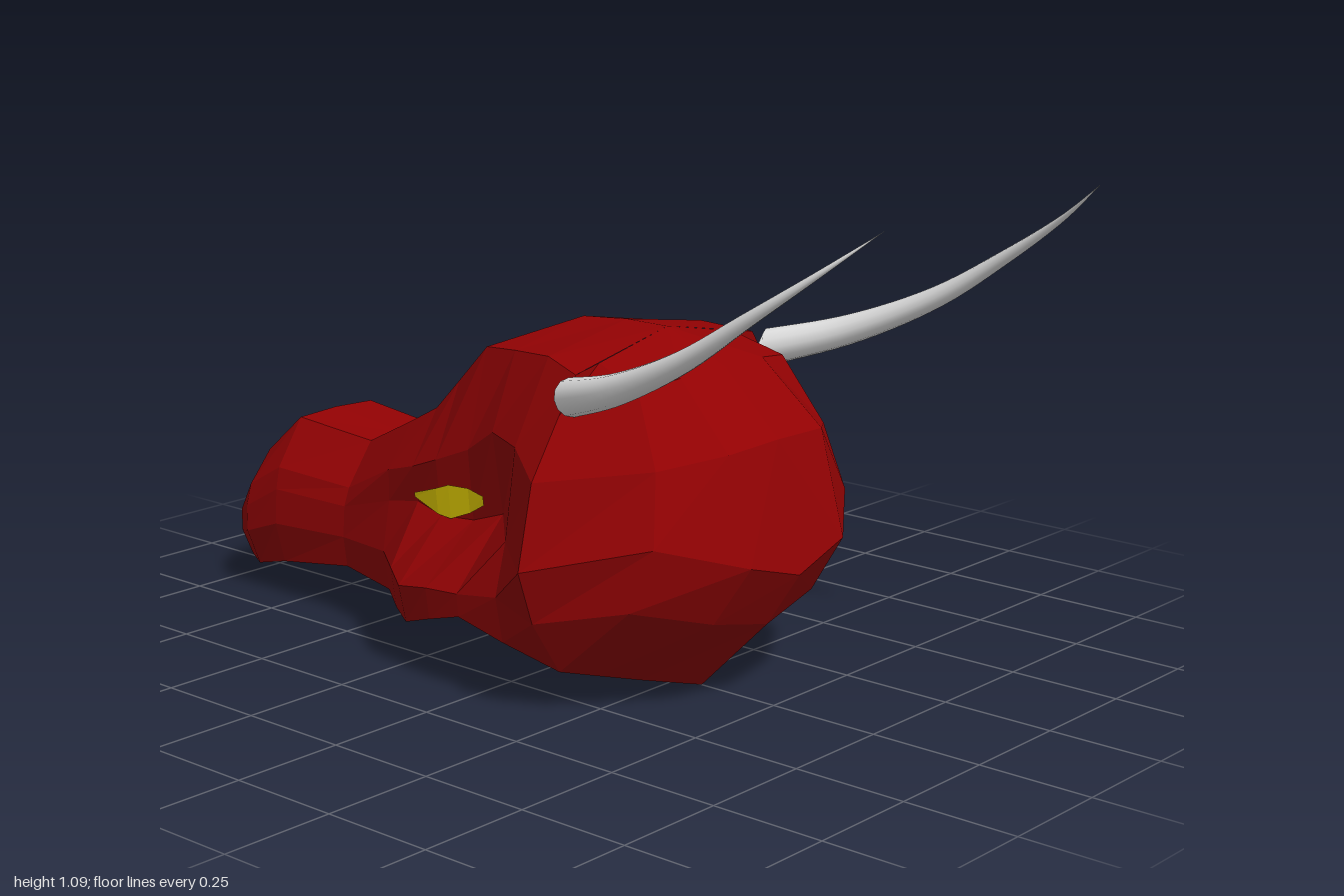
import * as THREE from 'three';

const mat = (name, color) => Object.assign(new THREE.MeshStandardMaterial({ color }), { name });

// Half cross-sections: z, z of the keel, top y, then (x, y) for crown edge, brow, cheek, jaw, jaw rim, then keel y
const FACE = [
  [0.21, 0.31, 0.75, 0.28, 0.695, 0.41, 0.50, 0.45, 0.325, 0.41, 0.21, 0.33, 0.09, 0.0],
  [0.10, 0.12, 0.75, 0.24, 0.71, 0.34, 0.54, 0.37, 0.35, 0.40, 0.24, 0.38, 0.14, 0.14],
  [-0.02, -0.02, 0.74, 0.21, 0.70, 0.28, 0.54, 0.25, 0.36, 0.39, 0.22, 0.385, 0.17, 0.18],
  [-0.12, -0.12, 0.70, 0.19, 0.69, 0.25, 0.48, 0.235, 0.325, 0.38, 0.21, 0.37, 0.14, 0.17],
  [-0.22, -0.22, 0.60, 0.17, 0.60, 0.245, 0.44, 0.23, 0.315, 0.36, 0.19, 0.34, 0.105, 0.15],
  [-0.30, -0.30, 0.53, 0.16, 0.525, 0.235, 0.41, 0.22, 0.33, 0.305, 0.20, 0.29, 0.108, 0.15],
  [-0.40, -0.40, 0.48, 0.14, 0.475, 0.21, 0.38, 0.21, 0.31, 0.23, 0.20, 0.215, 0.11, 0.15],
];
const SNOUT = [
  [-0.57, -0.57, 0.395, 0.10, 0.395, 0.17, 0.30, 0.185, 0.26, 0.19, 0.19, 0.18, 0.12, 0.14],
  [-0.79, -0.79, 0.42, 0.11, 0.415, 0.18, 0.31, 0.19, 0.26, 0.195, 0.18, 0.17, 0.085, 0.10],
  [-0.90, -0.92, 0.335, 0.11, 0.32, 0.17, 0.25, 0.185, 0.20, 0.185, 0.14, 0.15, 0.055, 0.055],
  [-0.97, -0.96, 0.23, 0.07, 0.225, 0.11, 0.20, 0.14, 0.17, 0.14, 0.12, 0.11, 0.055, 0.045],
  [-1.0, -0.99, 0.18, 0.04, 0.175, 0.06, 0.165, 0.07, 0.15, 0.07, 0.12, 0.05, 0.09, 0.09],
];
const SECTIONS = [...FACE, ...SNOUT];
const MOUTH_FROM = 5, MOUTH_TO = 8;

// Rows of the skull's rounded back, from the crown down, each from the middle out to the rim
const SKULL = [
  [[0, 0.75, 0.21], [0.13, 0.724, 0.21], [0.21, 0.708, 0.21], [0.28, 0.695, 0.21]],
  [[0, 0.69, 0.36], [0.13, 0.685, 0.355], [0.23, 0.67, 0.33], [0.33, 0.62, 0.21]],
  [[0, 0.56, 0.50], [0.15, 0.555, 0.495], [0.27, 0.53, 0.41], [0.41, 0.50, 0.21]],
  [[0, 0.29, 0.56], [0.15, 0.335, 0.555], [0.31, 0.385, 0.44], [0.45, 0.325, 0.21]],
  [[0, 0.17, 0.48], [0.16, 0.205, 0.47], [0.325, 0.25, 0.39], [0.41, 0.21, 0.21]],
  [[0, 0, 0.31], [0.15, 0.04, 0.27], [0.25, 0.068, 0.24], [0.33, 0.09, 0.21]],
];

// Full mirrored ring of twelve points from one half section
function ring(s) {
  const half = [];
  for (let k = 3; k < 13; k += 2) half.push([s[k], s[k + 1], s[0]]);
  return [[0, s[2], s[0]], ...half, [0, s[13], s[1]],
    ...half.slice().reverse().map(([x, y, z]) => [-x, y, z])];
}

// Faceted geometry from a list of triangle corners
function faceted(corners) {
  const g = new THREE.BufferGeometry();
  g.setAttribute('position', new THREE.Float32BufferAttribute(corners.flat(), 3));
  g.computeVertexNormals();
  return g;
}

function faceGeometries() {
  const rings = SECTIONS.map(ring), skin = [], mouth = [], n = 12;
  for (let j = 0; j < rings.length - 1; j++) {
    for (let i = 0; i < n; i++) {
      const k = (i + 1) % n;
      const inMouth = (i === 5 || i === 6) && j >= MOUTH_FROM && j < MOUTH_TO;
      const a = rings[j][i], b = rings[j][k], c = rings[j + 1][k], d = rings[j + 1][i];
      // mirror the diagonal so both halves match
      (inMouth ? mouth : skin).push(...(i < 6 ? [a, b, c, a, c, d] : [a, b, d, b, c, d]));
    }
  }
  // close the tip of the nose
  const last = rings[rings.length - 1];
  for (let i = 1; i < n - 1; i++) skin.push(last[0], last[i], last[i + 1]);
  return { skin: faceted(skin), mouth: faceted(mouth) };
}

// Back of the skull, mirrored about the middle
function skullGeometry() {
  const out = [];
  const flip = ([x, y, z]) => [-x, y, z];
  for (let r = 0; r < SKULL.length - 1; r++) {
    for (let i = 0; i < 3; i++) {
      const a = SKULL[r][i], b = SKULL[r + 1][i], c = SKULL[r + 1][i + 1], d = SKULL[r][i + 1];
      out.push(a, b, c, a, c, d);
      out.push(...[a, c, b, a, d, c].map(flip));
    }
  }
  return faceted(out);
}

// Half-width of the face between brow and jaw at a given z and y
function faceX(z, y) {
  const j = SECTIONS.findIndex((s, i) => i > 0 && s[0] <= z);
  const p = SECTIONS[j - 1], q = SECTIONS[j], t = (z - p[0]) / (q[0] - p[0]);
  const at = (k) => p[k] + (q[k] - p[k]) * t;
  const o = y > at(8) ? 5 : 7;
  return at(o) + (at(o + 2) - at(o)) * (y - at(o + 1)) / (at(o + 3) - at(o + 1));
}

// Almond eye laid just over the face
function eyeGeometry(side) {
  const stations = [[-0.07, 0.39, 0.37], [-0.12, 0.397, 0.342], [-0.18, 0.393, 0.318],
    [-0.22, 0.378, 0.32], [-0.298, 0.352, 0.342]];
  const point = (z, y) => [side * (faceX(z, y) + 0.009), y, z];
  const out = [];
  for (let i = 0; i < stations.length - 1; i++) {
    const [z0, u0, l0] = stations[i], [z1, u1, l1] = stations[i + 1];
    const a = point(z0, u0), b = point(z0, l0), c = point(z1, l1), d = point(z1, u1);
    out.push(...(side > 0 ? [a, b, c, a, c, d] : [a, c, b, a, d, c]));
  }
  return faceted(out);
}

// Curved horn: a tube whose rings shrink to a point
function hornGeometry(side) {
  const path = new THREE.CatmullRomCurve3([
    [0.305, 0.65, 0.2], [0.37, 0.712, 0.4], [0.405, 0.8, 0.59], [0.414, 0.9, 0.745],
    [0.396, 1.0, 0.89], [0.354, 1.085, 1.0],
  ].map(([x, y, z]) => new THREE.Vector3(side * x, y, z)));
  const rows = 28, sides = 12;
  const g = new THREE.TubeGeometry(path, rows, 0.041, sides);
  const pos = g.attributes.position, v = new THREE.Vector3();
  for (let i = 0; i <= rows; i++) {
    const t = i / rows, centre = path.getPointAt(t);
    const scale = i === 0 ? 0 : 1 - t;
    for (let j = 0; j <= sides; j++) {
      const k = i * (sides + 1) + j;
      v.fromBufferAttribute(pos, k).sub(centre).multiplyScalar(scale).add(centre);
      pos.setXYZ(k, v.x, v.y, v.z);
    }
  }
  return g;
}

export function createModel() {
  const red = mat('red scales', 0x930203);
  const bone = mat('pale horn', 0xeeeeee);
  const yellow = mat('yellow eye', 0xffe600);
  const flesh = mat('mauve mouth', 0xc45a70);

  const model = new THREE.Group();
  model.name = 'hornedHead';
  const add = (name, geometry, material) => {
    const mesh = new THREE.Mesh(geometry, material);
    mesh.name = name;
    model.add(mesh);
  };

  const face = faceGeometries();
  add('face', face.skin, red);
  add('mouthRoof', face.mouth, flesh);
  add('skullBack', skullGeometry(), red);
  // the snout points to -z
  for (const [label, side] of [['left', 1], ['right', -1]]) {
    add(label + 'Horn', hornGeometry(side), bone);
    add(label + 'Eye', eyeGeometry(side), yellow);
  }
  return model;
}
